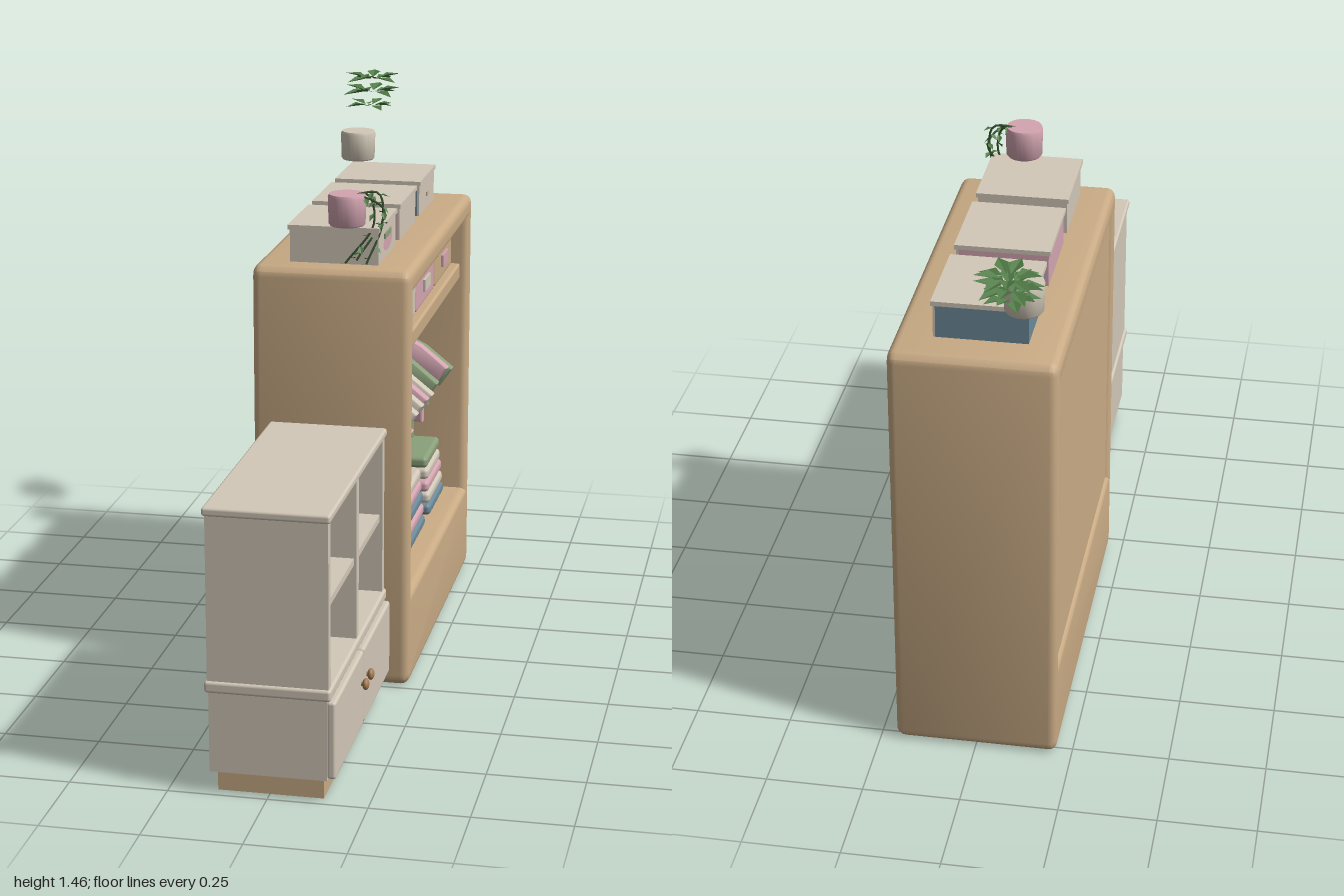
import * as THREE from 'three';
import { toCreasedNormals } from 'three/addons/utils/BufferGeometryUtils.js';
import { RoundedBoxGeometry } from 'three/addons/geometries/RoundedBoxGeometry.js';

const mat = (name, color, side = THREE.FrontSide) => {
  const m = new THREE.MeshStandardMaterial({ color, side });
  m.name = name;
  return m;
};

export function createModel() {
  const cream = mat('cream paint', 0xd2c8b8);
  const wood = mat('light wood', 0xc9ab85);
  const pink = mat('dusty pink', 0xd3a5b1);
  const blue = mat('slate blue', 0x6c8a99);
  const green = mat('sage green', 0x8aa07a);
  const metal = mat('rail metal', 0x9c9ea0);
  const brown = mat('knob brown', 0xa67c55);
  const leafGreen = mat('leaf green', 0x527d48, THREE.DoubleSide);
  const stemGreen = mat('stem green', 0x35502e);

  const model = new THREE.Group();
  model.name = 'wardrobeSet';
  const group = (name, parent = model) => {
    const g = new THREE.Group();
    g.name = name;
    parent.add(g);
    return g;
  };
  const add = (parent, name, geo, material, x = 0, y = 0, z = 0) => {
    const m = new THREE.Mesh(geo, material);
    m.name = name;
    m.position.set(x, y, z);
    parent.add(m);
    return m;
  };
  // Box given by its limits, with optional rounded edges
  const box = (parent, name, material, [x0, x1], [y0, y1], [z0, z1], r = 0) => {
    const s = [x1 - x0, y1 - y0, z1 - z0];
    const geo = r ? new RoundedBoxGeometry(...s, 2, r) : new THREE.BoxGeometry(...s);
    return add(parent, name, geo, material, (x0 + x1) / 2, (y0 + y1) / 2, (z0 + z1) / 2);
  };

  // Wardrobe shell: rounded frame with a through opening, open towards +x
  const wardrobe = group('wardrobe');
  const b = 0.022;
  const roundRect = (path, u0, u1, v0, v1, r) => path
    .moveTo(u0 + r, v0).lineTo(u1 - r, v0).quadraticCurveTo(u1, v0, u1, v0 + r)
    .lineTo(u1, v1 - r).quadraticCurveTo(u1, v1, u1 - r, v1)
    .lineTo(u0 + r, v1).quadraticCurveTo(u0, v1, u0, v1 - r)
    .lineTo(u0, v0 + r).quadraticCurveTo(u0, v0, u0 + r, v0);
  const outline = roundRect(new THREE.Shape(), -0.24 + b, 0.78 - b, b, 1.143 - b, 0.01);
  const hole = new THREE.Path();
  const [h0, h1, h2, h3] = [-0.187 - b, 0.725 + b, 0.25 - b, 1.075 + b];
  hole.moveTo(h0, h2).lineTo(h0, h3).lineTo(h1, h3).lineTo(h1, h2).lineTo(h0, h2);
  outline.holes.push(hole);
  const shell = new THREE.ExtrudeGeometry(outline, {
    depth: 0.42 - 2 * b, bevelThickness: b, bevelSize: b, bevelSegments: 4, curveSegments: 3,
  });
  shell.translate(0, 0, -0.21 + b);
  shell.rotateY(Math.PI / 2);
  add(wardrobe, 'shell', toCreasedNormals(shell, 0.6), wood);
  box(wardrobe, 'backPanel', wood, [-0.2, -0.17], [0.22, 1.1], [-0.75, 0.21]);
  box(wardrobe, 'upperShelf', wood, [-0.18, 0.185], [0.895, 0.943], [-0.726, 0.188], 0.008);
  const rail = add(wardrobe, 'rail', new THREE.CylinderGeometry(0.013, 0.013, 0.91, 16), metal, 0.01, 0.838, -0.268);
  rail.rotation.x = Math.PI / 2;

  // Bins on the upper shelf with label plates
  const bins = group('shelfBins', wardrobe);
  [[0.045, cream, cream], [-0.25, pink, cream], [-0.55, wood, pink]].forEach(([z, body, label]) => {
    box(bins, 'bin', body, [-0.15, 0.165], [0.944, 1.066], [z - 0.143, z + 0.143], 0.012);
    box(bins, 'binLabel', label, [0.164, 0.172], [0.982, 1.016], [z - 0.045, z + 0.045]);
  });

  // Hanging shirts: [z, top, bottom, colour, has hook]
  const shirts = group('hangingShirts', wardrobe);
  const shirtGeo = (top, bottom) => {
    const half = [[0.035, top], [0.085, top - 0.025], [0.16, top - 0.085],
      [0.13, top - 0.13], [0.09, top - 0.095], [0.09, bottom]];
    const pts = [...half, ...half.map(([x, y]) => [-x, y]).reverse()];
    const g = new THREE.ExtrudeGeometry(new THREE.Shape(pts.map(p => new THREE.Vector2(...p))), {
      depth: 0.02, bevelThickness: 0.009, bevelSize: 0.006, bevelSegments: 2,
    });
    return toCreasedNormals(g.translate(0, 0, -0.01), 0.7);
  };
  [
    [0.09, 0.752, 0.505, blue, 1], [0.005, 0.73, 0.52, pink, 0], [-0.077, 0.755, 0.5, cream, 1],
    [-0.16, 0.755, 0.495, cream, 0], [-0.243, 0.75, 0.505, pink, 1], [-0.326, 0.74, 0.51, cream, 0],
    [-0.41, 0.75, 0.505, green, 1], [-0.575, 0.75, 0.505, pink, 1], [-0.66, 0.725, 0.53, green, 0],
  ].forEach(([z, top, bottom, material, hook]) => {
    add(shirts, 'shirt', shirtGeo(top, bottom), material, 0.01, 0, z);
    if (!hook) return;
    add(shirts, 'hangerStem', new THREE.CylinderGeometry(0.004, 0.004, 0.07, 6), brown, 0.01, 0.785, z);
    add(shirts, 'hangerHook', new THREE.TorusGeometry(0.018, 0.004, 6, 14, Math.PI * 1.4), metal, 0.01, 0.838, z);
  });

  // Folded clothes, listed from the bottom up
  const stacks = group('foldedStacks', wardrobe);
  [
    [0.062, [cream, pink, blue, green, pink]],
    [-0.252, [blue, pink, blue, pink, cream]],
    [-0.565, [blue, cream, pink, cream, green]],
  ].forEach(([z, layers]) => layers.forEach((material, i) => {
    const w = 0.118 - (i > 2 ? 0.008 : 0) - (i % 2) * 0.003;
    box(stacks, 'foldedCloth', material, [-0.13, 0.15 - i * 0.003],
      [0.25 + i * 0.035, 0.284 + i * 0.035], [z - w, z + w], 0.013);
  }));

  // Storage boxes on top, with pale front plates and lids
  const boxes = group('topBoxes');
  [[0.053, cream], [-0.25, pink], [-0.555, blue]].forEach(([z, body]) => {
    box(boxes, 'boxBody', body, [-0.122, 0.107], [1.143, 1.232], [z - 0.121, z + 0.121]);
    box(boxes, 'boxFront', cream, [0.107, 0.113], [1.143, 1.232], [z - 0.121, z + 0.121]);
    box(boxes, 'boxLid', cream, [-0.127, 0.117], [1.23, 1.242], [z - 0.127, z + 0.127]);
  });
  const oval = add(boxes, 'boxOval', new THREE.CircleGeometry(1, 24), pink, 0.115, 1.182, 0.053);
  oval.scale.set(0.06, 0.022, 1);
  oval.rotation.y = Math.PI / 2;
  box(boxes, 'boxStripe', green, [0.113, 0.117], [1.196, 1.21], [0.008, 0.098]);
  box(boxes, 'boxButton', wood, [0.113, 0.117], [1.178, 1.19], [-0.568, -0.542]);

  // Cabinet beside the wardrobe, facing +x
  const cabinet = group('cabinet');
  box(cabinet, 'plinth', wood, [-0.13, 0.135], [0, 0.062], [0.308, 0.968]);
  box(cabinet, 'lowerBody', cream, [-0.145, 0.148], [0.058, 0.268], [0.285, 0.993]);
  box(cabinet, 'counter', cream, [-0.155, 0.158], [0.265, 0.295], [0.278, 1.0], 0.008);
  box(cabinet, 'top', cream, [-0.155, 0.158], [0.715, 0.737], [0.278, 1.0], 0.007);
  box(cabinet, 'back', cream, [-0.148, -0.133], [0.29, 0.72], [0.285, 0.993]);
  for (const [z0, z1] of [[0.285, 0.31], [0.625, 0.652], [0.967, 0.993]])
    box(cabinet, 'upright', cream, [-0.148, 0.152], [0.29, 0.72], [z0, z1]);
  box(cabinet, 'middleShelf', cream, [-0.14, 0.145], [0.49, 0.508], [0.3, 0.98]);
  for (const s of [-1, 1]) {
    const z = 0.639 + s * 0.178;
    box(cabinet, 'door', cream, [0.146, 0.169], [0.062, 0.263], [z - 0.175, z + 0.175], 0.008);
    const knob = add(cabinet, 'knob', new THREE.SphereGeometry(0.015, 16, 10), brown, 0.18, 0.183, 0.639 + s * 0.034);
    knob.scale.x = 0.6;
    const neck = add(cabinet, 'knobNeck', new THREE.CylinderGeometry(0.006, 0.006, 0.02, 10), brown, 0.172, 0.183, 0.639 + s * 0.034);
    neck.rotation.z = Math.PI / 2;
  }

  // Folded diamond leaf pointing along +z
  const leafGeo = new THREE.BufferGeometry();
  leafGeo.setAttribute('position', new THREE.Float32BufferAttribute(
    [0, 0, 0, 0.3, 0.12, 0.45, 0, 0, 1, 0, 0, 0, 0, 0, 1, -0.3, 0.12, 0.45].map((v, i) => v), 3));
  leafGeo.computeVertexNormals();
  const leaf = (parent, p, yaw, pitch, size) => {
    const m = add(parent, 'leaf', leafGeo, leafGreen, ...p);
    m.rotation.set(pitch, yaw, 0, 'YXZ');
    m.scale.setScalar(size);
  };
  const pot = (parent, name, material, x, z) => {
    const profile = [[0, 1.247], [0.044, 1.247], [0.048, 1.252], [0.05, 1.322], [0.047, 1.33], [0, 1.33]];
    const g = new THREE.LatheGeometry(profile.map(p => new THREE.Vector2(...p)), 28);
    add(parent, name, toCreasedNormals(g, 0.7), material, x, 0, z);
  };

  // Tiered leafy plant with its pot
  const leafyPlant = group('leafyPlant');
  pot(leafyPlant, 'creamPot', cream, -0.115, -0.7);
  [[1.375, -0.875, 0.055], [1.412, -0.9, 0.07], [1.448, -0.92, 0.066]].forEach(([y, z, size], t) => {
    for (let i = 0; i < 9; i++) {
      const a = (i + t / 3) * Math.PI * 2 / 9;
      leaf(leafyPlant, [-0.115 + Math.sin(a) * 0.016, y, z + Math.cos(a) * 0.016], a, -0.18 + 0.3 * (i % 2), size);
    }
  });

  // Trailing ivy hanging from the pink pot
  const ivy = group('trailingPlant');
  pot(ivy, 'pinkPot', pink, 0.03, 0.172);
  [
    [[0.04, 1.325, 0.16], [0.085, 1.325, 0.16], [0.1, 1.25, 0.17], [0.03, 1.15, 0.195]],
    [[0.04, 1.325, 0.17], [0.11, 1.33, 0.155], [0.12, 1.25, 0.16], [0.085, 1.15, 0.195]],
    [[0.04, 1.325, 0.18], [0.09, 1.32, 0.18], [0.125, 1.28, 0.15], [0.06, 1.16, 0.2]],
  ].forEach((pts, k) => {
    const curve = new THREE.CatmullRomCurve3(pts.map(p => new THREE.Vector3(...p)));
    add(ivy, 'stem', new THREE.TubeGeometry(curve, 20, 0.003, 5), stemGreen);
    for (let i = 0; i < 10; i++)
      leaf(ivy, curve.getPoint((i + 0.5) / 10).toArray(), i * 2.4 + k, 0.3 + (i % 3) * 0.25, 0.027);
  });

  return model;
}
